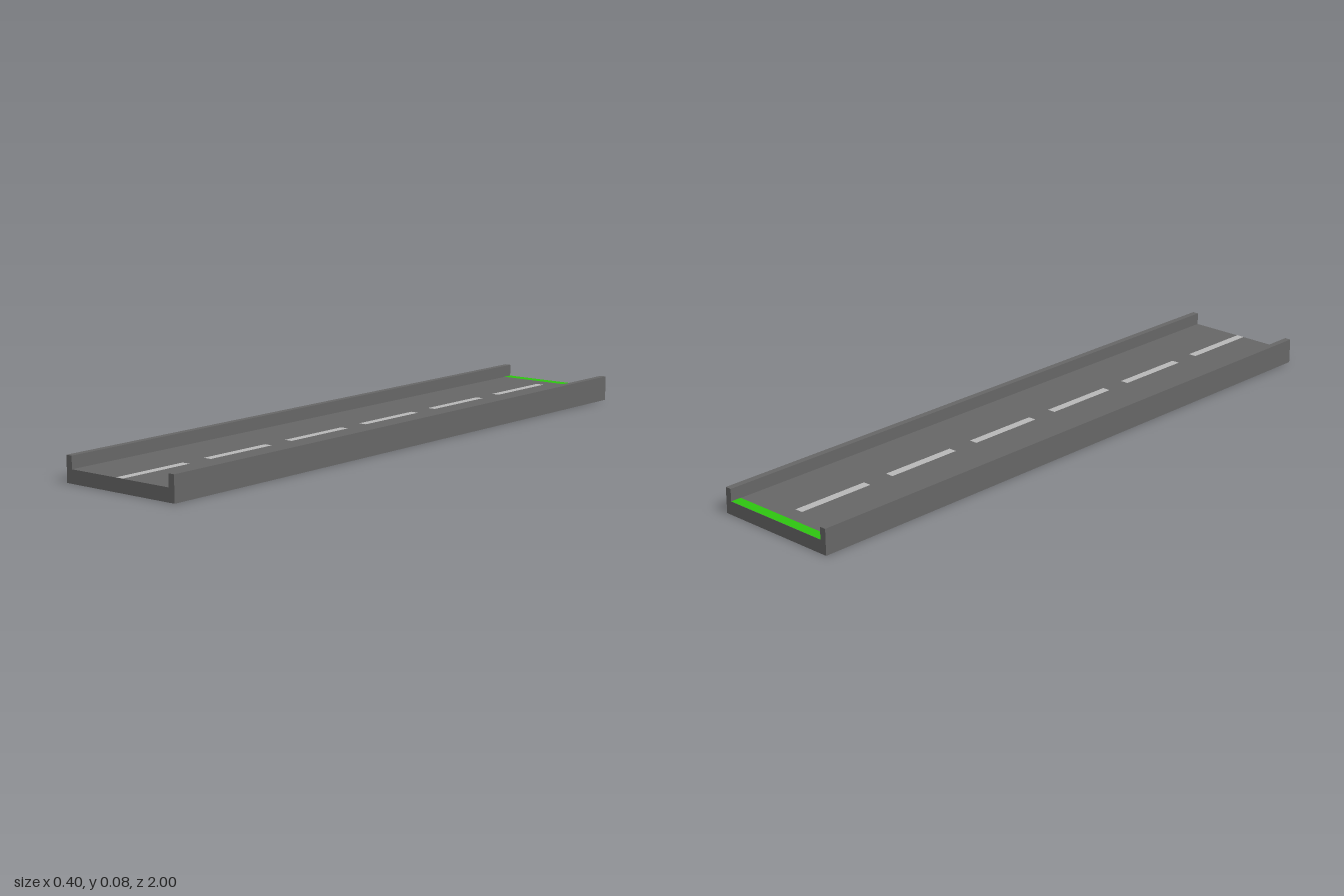
import * as THREE from 'three';

const LENGTH = 2, HALF = 0.2, INNER = 0.18, DECK = 0.04, TOP = 0.077;

// Thin painted marking lying on the deck between z0 and z1
function marking(name, width, z0, z1, material) {
  const geometry = new THREE.PlaneGeometry(width, z1 - z0).rotateX(-Math.PI / 2);
  const mesh = new THREE.Mesh(geometry, material);
  mesh.name = name;
  mesh.position.set(0, DECK + 0.0006, (z0 + z1) / 2);
  return mesh;
}

export function createModel() {
  const model = new THREE.Group();
  model.name = 'roadSection';
  const asphalt = new THREE.MeshStandardMaterial({ color: 0x666666 });
  const paint = new THREE.MeshStandardMaterial({ color: 0xb8b8b8 });
  const green = new THREE.MeshStandardMaterial({ color: 0x2ec410 });

  // Road deck with a kerb wall along each side, one U-shaped section
  const section = new THREE.Shape([
    [-HALF, 0], [HALF, 0], [HALF, TOP], [INNER, TOP],
    [INNER, DECK], [-INNER, DECK], [-INNER, TOP], [-HALF, TOP],
  ].map(([x, y]) => new THREE.Vector2(x, y)));
  const geometry = new THREE.ExtrudeGeometry(section, { depth: LENGTH, bevelEnabled: false });
  geometry.translate(0, 0, -LENGTH / 2);
  const road = new THREE.Mesh(geometry, asphalt);
  road.name = 'roadDeckWithKerbs';
  model.add(road);

  // Dashed centre line, evenly spaced from the front edge
  const dashes = new THREE.Group();
  dashes.name = 'centreLine';
  for (let i = 0; i < 6; i++) {
    const z1 = 1 - i / 3;
    dashes.add(marking('centreDash', 0.026, z1 - 0.25, z1, paint));
  }
  model.add(dashes);

  // Green stripe across the back end
  model.add(marking('endStripe', INNER * 2, -1, -0.967, green));
  return model;
}
